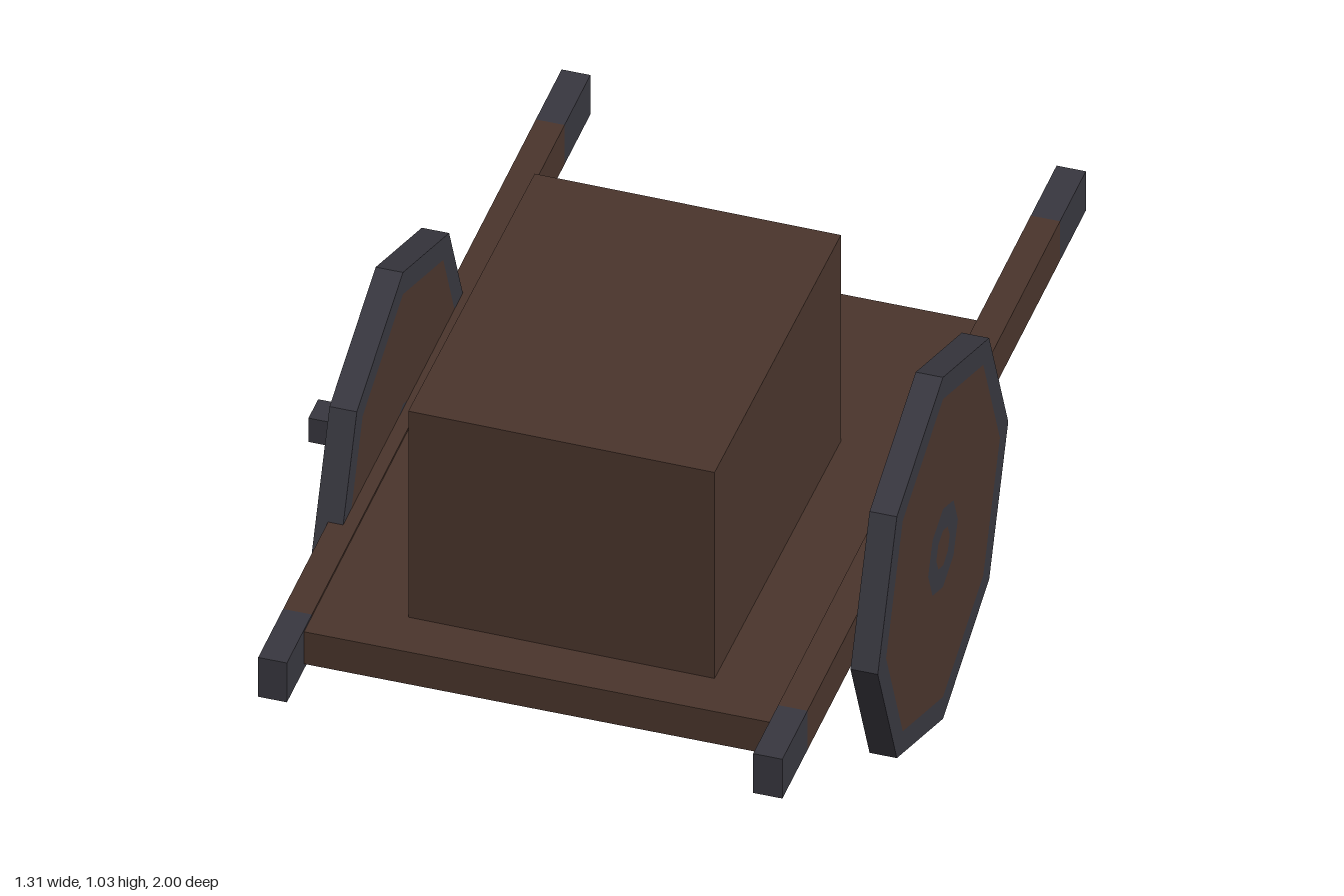
import * as THREE from 'three';

const wood = new THREE.MeshStandardMaterial({ color: 0x4a352c, side: THREE.DoubleSide });
wood.name = 'brown wood';
const iron = new THREE.MeshStandardMaterial({ color: 0x38373f, side: THREE.DoubleSide });
iron.name = 'dark iron';

function add(parent, name, geometry, material) {
  const mesh = new THREE.Mesh(geometry, material);
  mesh.name = name;
  parent.add(mesh);
  return mesh;
}

// Hollow box given by its limits on each axis; the listed faces are left open
const FACES = ['left', 'right', 'top', 'bottom', 'front', 'back'];
function shell(parent, name, material, [x0, x1], [y0, y1], [z0, z1], open = ['bottom']) {
  const geometry = new THREE.BoxGeometry(x1 - x0, y1 - y0, z1 - z0);
  const kept = Array.from(geometry.index.array)
    .filter((_, i) => !open.includes(FACES[Math.floor(i / 6)]));
  geometry.setIndex(kept);
  geometry.clearGroups();
  const mesh = add(parent, name, geometry, material);
  mesh.position.set((x0 + x1) / 2, (y0 + y1) / 2, (z0 + z1) / 2);
  return mesh;
}

// Eight-sided wheel: an iron tread and flush rings of wood and iron on both faces
function wheel(name, x) {
  const group = new THREE.Group();
  group.name = name;
  const radius = 0.43, width = 0.057, sides = 8;

  const tread = new THREE.CylinderGeometry(radius, radius, width, sides, 1, true).toNonIndexed();
  tread.computeVertexNormals();
  tread.rotateZ(Math.PI / 2);
  add(group, 'tread', tread, iron);

  const bands = [
    ['rim', 0.375, radius, iron],
    ['disc', 0.098, 0.375, wood],
    ['hub', 0.044, 0.098, iron],
    ['hubCentre', 0, 0.044, wood],
  ];
  for (const side of [-1, 1]) {
    for (const [band, inner, outer, material] of bands) {
      const face = inner > 0
        ? new THREE.RingGeometry(inner, outer, sides)
        : new THREE.CircleGeometry(outer, sides);
      face.rotateY(side * Math.PI / 2);
      face.translate(side * width / 2, 0, 0);
      add(group, band, face, material);
    }
  }
  group.position.set(x, radius, 0.145);
  return group;
}

export function createModel() {
  const cart = new THREE.Group();
  cart.name = 'handcart';

  // Load bed between the two shafts: a deck with an apron, open below
  shell(cart, 'bed', wood, [-0.443, 0.53], [0.43, 0.511], [-0.48, 0.887]);

  // Crate, set down slightly askew, its walls just piercing the deck
  const crate = shell(cart, 'crate', wood, [-0.256, 0.385], [0.504, 1.03], [-0.028, 0.782]);
  crate.rotation.y = -0.009;

  // Long hollow shafts with iron caps at both ends
  for (const [side, x] of [['right', [-0.503, -0.443]], ['left', [0.53, 0.591]]]) {
    const y = [0.417, 0.516];
    shell(cart, side + 'Shaft', wood, x, y, [-0.83, 0.835], ['bottom', 'front', 'back']);
    shell(cart, side + 'BackCap', iron, x, y, [-1, -0.83], ['bottom', 'front']);
    shell(cart, side + 'FrontCap', iron, x, y, [0.835, 1], ['bottom', 'back']);
  }

  // Wheels, with the axle stub showing on one side
  cart.add(wheel('rightWheel', -0.5), wheel('leftWheel', 0.627));
  shell(cart, 'axle', iron, [-0.657, -0.446], [0.417, 0.477], [0.118, 0.182]);

  return cart;
}
